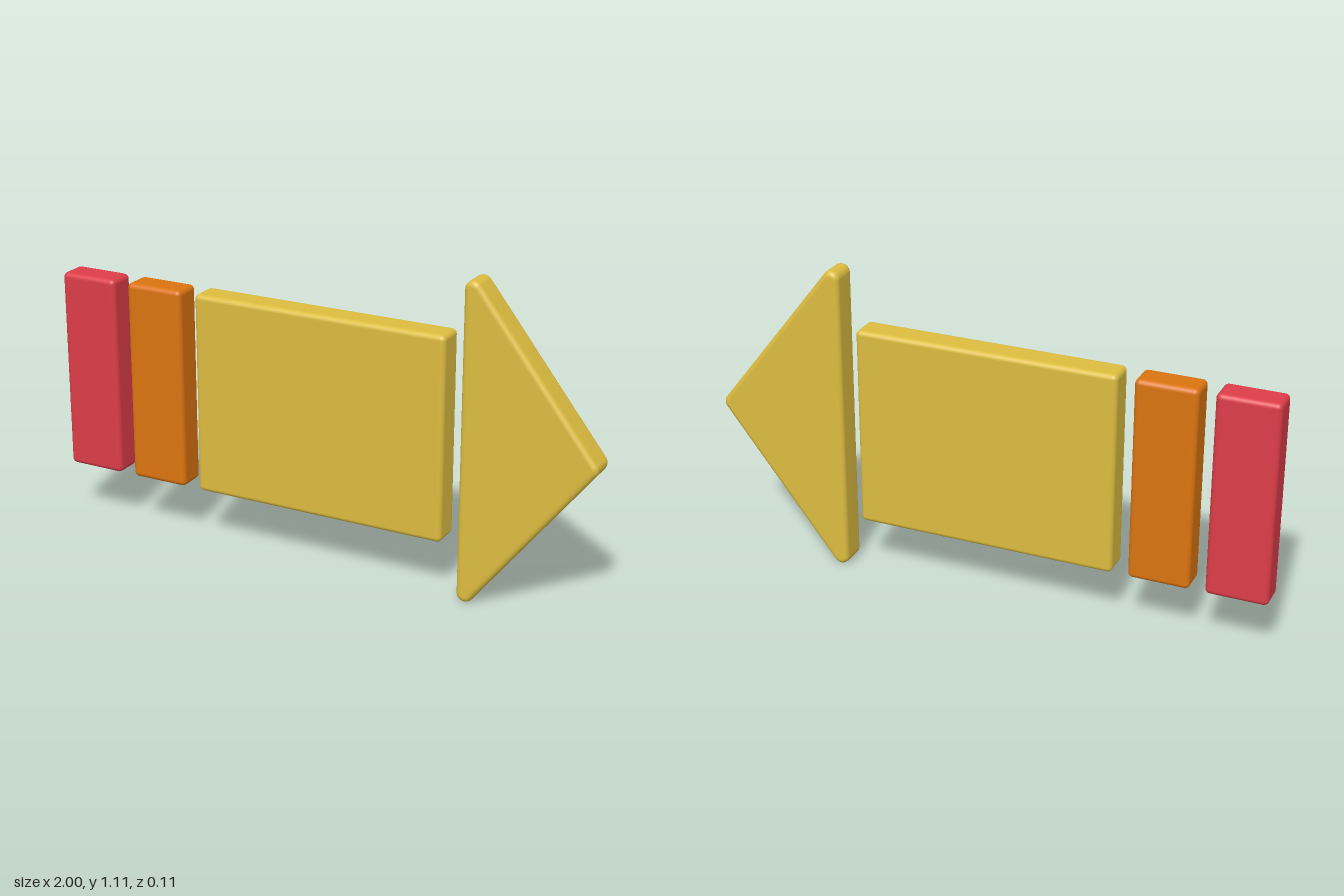
import * as THREE from 'three';
import { mergeVertices } from 'three/addons/utils/BufferGeometryUtils.js';
import { RoundedBoxGeometry } from 'three/addons/geometries/RoundedBoxGeometry.js';

const DEPTH = 0.106, BEVEL = 0.018, MID_Y = 0.555;

// Triangular head with rounded corners and softened rims
function headGeometry() {
  const backX = 0.56, tipX = 0.97, halfHeight = 0.525;
  const inner = 0.012; // corner radius before the bevel widens it
  const slant = Math.atan2(tipX - backX, halfHeight);
  const shape = new THREE.Shape();
  shape.absarc(backX, MID_Y - halfHeight, inner, Math.PI, 2 * Math.PI - slant, false);
  shape.absarc(tipX, MID_Y, inner, -slant, slant, false);
  shape.absarc(backX, MID_Y + halfHeight, inner, slant, Math.PI, false);

  const flat = DEPTH - 2 * BEVEL;
  const geometry = new THREE.ExtrudeGeometry(shape, {
    depth: flat, bevelSize: BEVEL, bevelThickness: BEVEL, bevelSegments: 5, curveSegments: 8,
  });
  geometry.translate(0, 0, -flat / 2);
  // Weld so the rounded rims shade smoothly
  geometry.deleteAttribute('normal');
  geometry.deleteAttribute('uv');
  const welded = mergeVertices(geometry, 1e-5);
  welded.computeVertexNormals();
  return welded;
}

export function createModel() {
  const group = new THREE.Group();
  const yellow = new THREE.MeshStandardMaterial({ color: 0xdcbc40 });
  const orange = new THREE.MeshStandardMaterial({ color: 0xdb7410 });
  const red = new THREE.MeshStandardMaterial({ color: 0xdc3d48 });

  const add = (name, geometry, material) => {
    const mesh = new THREE.Mesh(geometry, material);
    mesh.name = name;
    group.add(mesh);
    return mesh;
  };

  // Shaft blocks, from tail to head: name, left edge, right edge, material
  for (const [name, x0, x1, material] of [
    ['tailBlock', -1, -0.785, red],
    ['middleBlock', -0.732, -0.517, orange],
    ['shaft', -0.461, 0.471, yellow],
  ]) {
    const block = add(name, new RoundedBoxGeometry(x1 - x0, 0.72, DEPTH, 5, BEVEL), material);
    block.position.set((x0 + x1) / 2, MID_Y, 0);
  }

  add('arrowHead', headGeometry(), yellow);
  return group;
}
